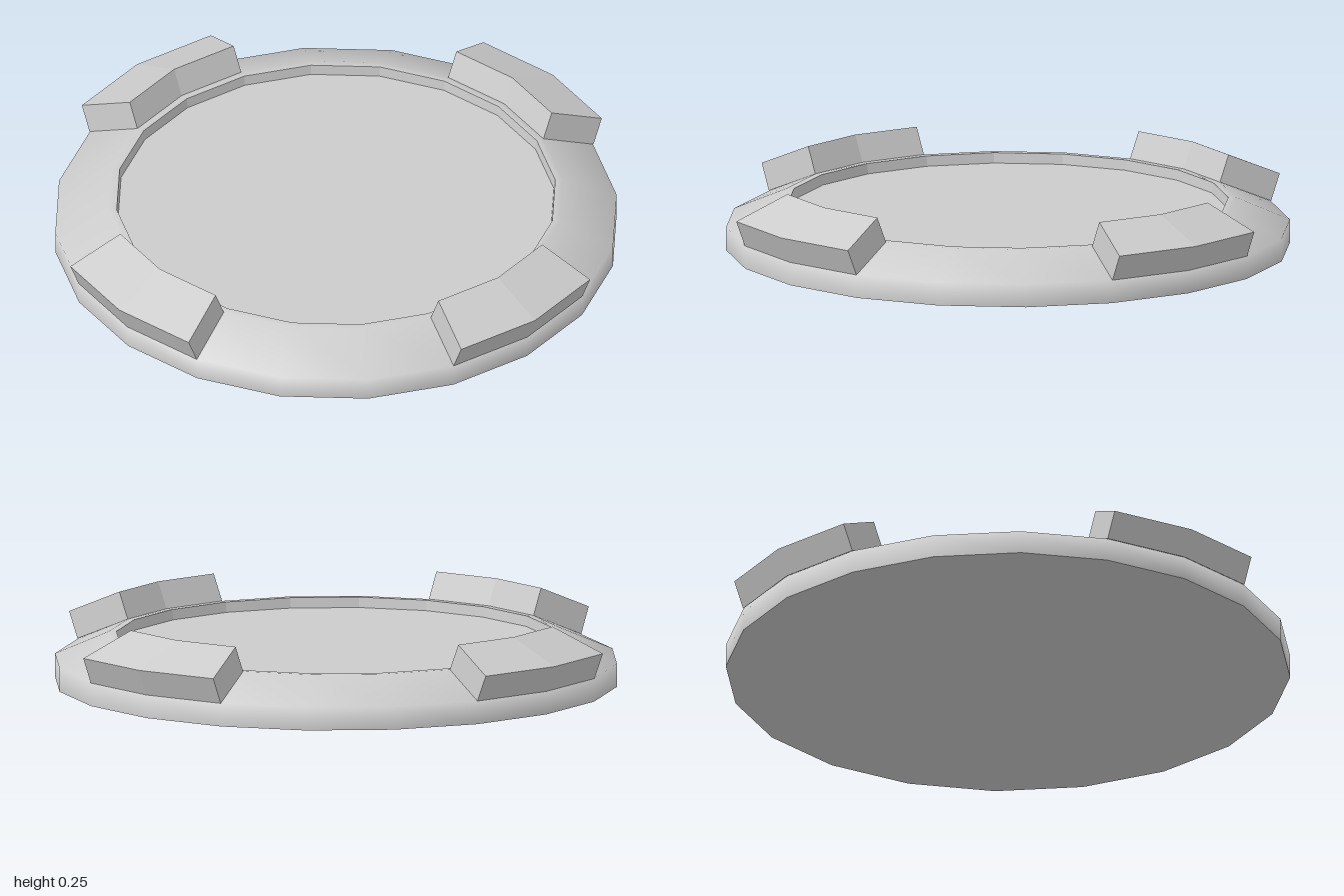
import * as THREE from 'three';

const SIDES = 20;
const STEP = (Math.PI * 2) / SIDES;

// Block of three cross-sections following the rim, built facing +z
function blockGeometry() {
  const lift = 0.09, push = 0.038;
  const sections = [-1, 0, 1].map((i) => {
    const at = (r, y, dz) => [Math.sin(i * STEP) * r, y, Math.cos(i * STEP) * r + dz];
    return [
      at(0.962, 0.08, 0),              // outer bottom
      at(0.962, 0.08 + lift, push),    // outer top
      at(0.775, 0.16 + lift, push),    // inner top
      at(0.775, 0.16, 0),              // inner bottom
    ];
  });
  const positions = [];
  const quad = (a, b, c, d) => positions.push(...a, ...b, ...c, ...a, ...c, ...d);
  for (let s = 0; s < 2; s++) {
    const p = sections[s], q = sections[s + 1];
    for (let k = 0; k < 4; k++) {
      const n = (k + 1) % 4;
      quad(p[k], q[k], q[n], p[n]);
    }
  }
  const [l, , r] = sections;
  quad(l[0], l[1], l[2], l[3]);
  quad(r[3], r[2], r[1], r[0]);
  const geometry = new THREE.BufferGeometry();
  geometry.setAttribute('position', new THREE.Float32BufferAttribute(positions, 3));
  geometry.computeVertexNormals();
  return geometry;
}

export function createModel() {
  const model = new THREE.Group();
  const smooth = new THREE.MeshStandardMaterial({ color: 0xcccccc });
  const flat = new THREE.MeshStandardMaterial({ color: 0xcccccc, flatShading: true });

  const addLathe = (name, points, material) => {
    const profile = points.map(([r, y]) => new THREE.Vector2(r, y));
    const mesh = new THREE.Mesh(new THREE.LatheGeometry(profile, SIDES), material);
    mesh.name = name;
    model.add(mesh);
  };

  // Round body: smooth rim, inner lip wall, recessed floor and underside
  addLathe('rim', [[0.96, 0], [0.96, 0.08], [0.775, 0.16], [0.75, 0.16]], smooth);
  addLathe('innerWall', [[0.75, 0.16], [0.745, 0.125]], flat);
  addLathe('recessedFloor', [[0.745, 0.125], [0, 0.125]], flat);
  addLathe('underside', [[0, 0], [0.96, 0]], flat);

  // Four tilted blocks around the rim
  const geometry = blockGeometry();
  ['frontBlock', 'leftBlock', 'backBlock', 'rightBlock'].forEach((name, i) => {
    const block = new THREE.Mesh(geometry, flat);
    block.name = name;
    block.rotation.y = (i * Math.PI) / 2;
    model.add(block);
  });
  return model;
}
